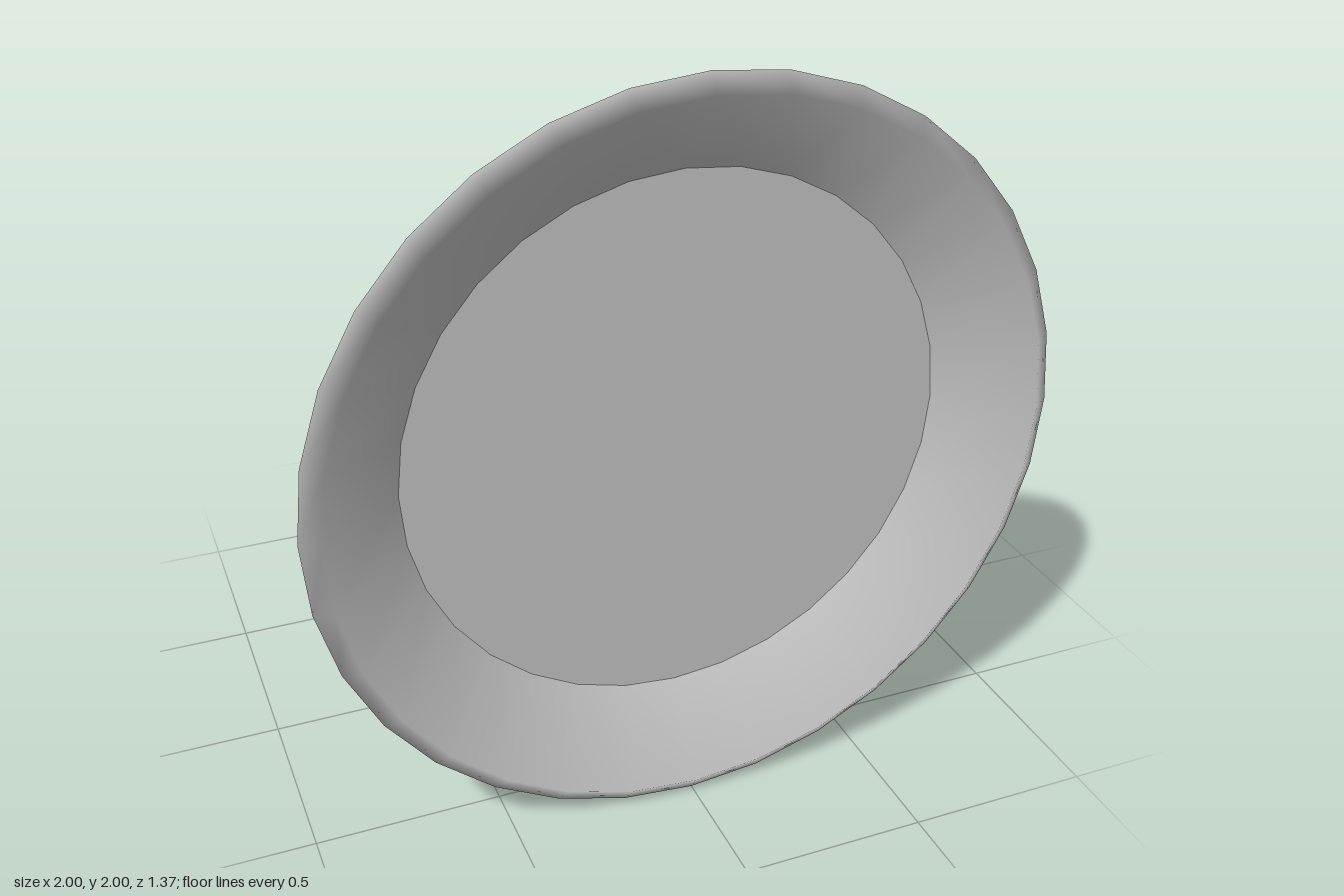
import * as THREE from 'three';

const SEGMENTS = 32;

export function createModel() {
  const group = new THREE.Group();
  group.name = 'bell';
  const grey = new THREE.MeshStandardMaterial({ color: 0xc0c0c0 });
  grey.name = 'plain grey';

  const add = (name, geometry, radius = 0, z = 0) => {
    const mesh = new THREE.Mesh(geometry, grey);
    mesh.name = name;
    mesh.position.set(0, 1, z);
    group.add(mesh);
    return mesh;
  };

  // Bell wall from the domed back to the flared lip and into the mouth: [radius, z]
  const profile = [
    [0, -0.685], [0.16, -0.67], [0.26, -0.6], [0.32, -0.44], [0.345, -0.23],
    [0.4, 0], [0.5, 0.2], [0.65, 0.36], [0.83, 0.5], [0.91, 0.56],
    [1, 0.65], [0.952, 0.685], [0.73, 0.52],
  ].map(([r, z]) => new THREE.Vector2(r, z));
  add('bellWall', new THREE.LatheGeometry(profile, SEGMENTS).rotateX(Math.PI / 2));

  // Flat plate closing the mouth
  add('mouthPlate', new THREE.CircleGeometry(0.73, SEGMENTS), 0, 0.52);

  // Raised rings around the outside: [radius, z]
  const rings = [[0.34, -0.447], [0.41, -0.018], [0.667, 0.36], [0.847, 0.501]];
  rings.forEach(([r, z], i) => {
    add(`ring${i + 1}`, new THREE.TorusGeometry(r, 0.025, 8, SEGMENTS), r, z);
  });

  return group;
}
